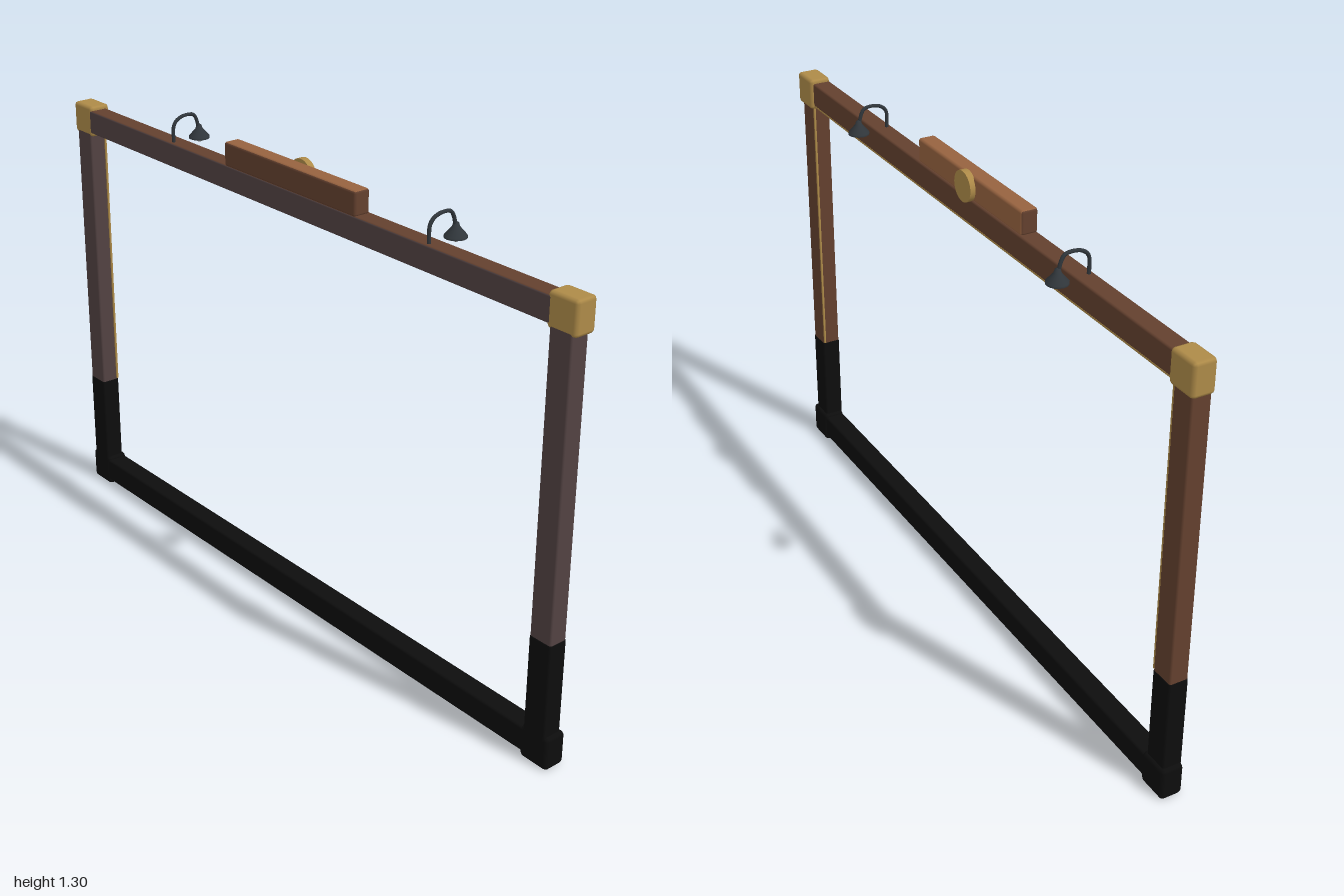
import * as THREE from 'three';
import { RoundedBoxGeometry } from 'three/addons/geometries/RoundedBoxGeometry.js';

export function createModel() {
  const model = new THREE.Group();
  model.name = 'displayFrame';

  const mat = (name, color, side = THREE.FrontSide) => {
    const m = new THREE.MeshStandardMaterial({ color, side });
    m.name = name;
    return m;
  };
  const wood = mat('brown wood', 0x63402e);
  const umber = mat('dark umber', 0x524242);
  const lightWood = mat('light wood', 0x96623f);
  const gold = mat('aged brass', 0xad8a48);
  const black = mat('black', 0x0d0d0d);
  const slate = mat('lamp metal', 0x30363b, THREE.DoubleSide);
  const bulbGlass = mat('bulb glass', 0xb8b8b4);

  // Softened box given by its limits; material may be an array in the order +x -x +y -y +z -z
  const block = (name, [x0, x1], [y0, y1], [z0, z1], material, radius = 0.005, parent = model) => {
    const mesh = new THREE.Mesh(
      new RoundedBoxGeometry(x1 - x0, y1 - y0, z1 - z0, 1, radius), material);
    mesh.position.set((x0 + x1) / 2, (y0 + y1) / 2, (z0 + z1) / 2);
    mesh.name = name;
    parent.add(mesh);
    return mesh;
  };

  // Horizontal beams
  const depth = [0.011, 0.064];
  block('topBeam', [-0.95, 0.95], [1.157, 1.225], depth,
    [wood, wood, wood, umber, umber, wood]);
  block('bottomBeam', [-0.95, 0.95], [0.015, 0.084], [0.005, 0.064], black);
  block('topInnerTrim', [-0.915, 0.915], [1.153, 1.159], [0.012, 0.018], gold, 0.001);

  for (const s of [1, -1]) {
    const side = s > 0 ? 'left' : 'right';
    const span = (a, b) => (s > 0 ? [a, b] : [-b, -a]);

    // Posts with black feet
    block(side + 'Post', span(0.92, 0.988), [0.35, 1.19], depth,
      [umber, wood, wood, wood, umber, wood]);
    block(side + 'PostFoot', span(0.919, 0.989), [0.05, 0.357], [0.010, 0.065], black);
    block(side + 'InnerTrim', span(0.916, 0.922), [0.357, 1.155], [0.012, 0.018], gold, 0.001);

    // Corner caps
    block(side + 'TopCorner', span(0.91, 1), [1.146, 1.237], [0.002, 0.065], gold, 0.01);
    block(side + 'BottomCorner', span(0.91, 1), [0, 0.093], [0.002, 0.065], black, 0.01);

    // Gooseneck lamp reaching over the back
    const lamp = new THREE.Group();
    lamp.name = side + 'Lamp';
    lamp.position.x = s * 0.515;
    model.add(lamp);

    const path = new THREE.CatmullRomCurve3([
      [1.215, 0.05], [1.272, 0.048], [1.288, 0.032], [1.294, 0.006],
      [1.29, -0.018], [1.274, -0.028], [1.25, -0.034],
    ].map(([y, z]) => new THREE.Vector3(0, y, z)));
    const arm = new THREE.Mesh(new THREE.TubeGeometry(path, 24, 0.005, 8), slate);
    arm.name = 'lampArm';
    lamp.add(arm);

    const profile = [[0.001, 0.04], [0.007, 0.037], [0.01, 0.027], [0.029, 0.005], [0.029, 0]]
      .map(([r, y]) => new THREE.Vector2(r, y));
    const shade = new THREE.Mesh(new THREE.LatheGeometry(profile, 16), slate);
    shade.name = 'lampShade';
    shade.position.set(0, 1.221, -0.036);
    lamp.add(shade);

    const bulb = new THREE.Mesh(new THREE.SphereGeometry(0.013, 12, 8), bulbGlass);
    bulb.name = 'lampBulb';
    bulb.position.set(0, 1.223, -0.036);
    lamp.add(bulb);
  }

  // Plaque on top, with a round brass medallion behind
  block('plaque', [-0.265, 0.265], [1.222, 1.289], [0.016, 0.064],
    [wood, wood, lightWood, wood, wood, lightWood], 0.007);
  const medallion = new THREE.Mesh(new THREE.CylinderGeometry(0.042, 0.042, 0.018, 28), gold);
  medallion.name = 'medallion';
  medallion.rotation.x = Math.PI / 2;
  medallion.position.set(0, 1.256, 0.01);
  model.add(medallion);

  return model;
}
